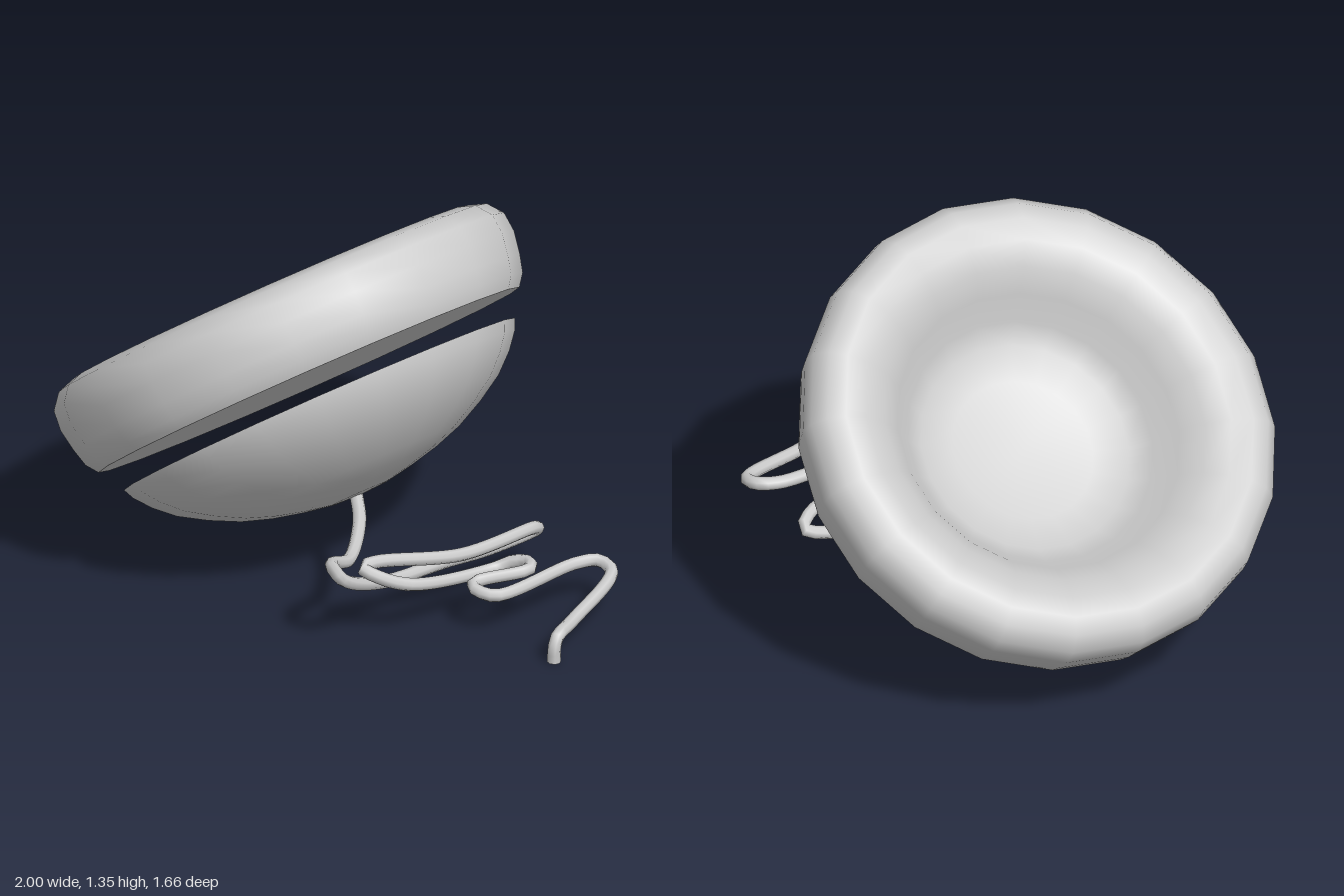
import * as THREE from 'three';
import { toCreasedNormals } from 'three/addons/utils/BufferGeometryUtils.js';

const TILT = 0.651; // lean of both round parts

function createMesh(name, geometry) {
  const mesh = new THREE.Mesh(geometry, new THREE.MeshStandardMaterial({ color: 0xcccccc }));
  mesh.name = name;
  return mesh;
}

// Round part from [radius, height] pairs, 20 sides, sharp only at hard edges
function turned(name, profile) {
  const points = profile.map(([r, h]) => new THREE.Vector2(r, h));
  return createMesh(name, toCreasedNormals(new THREE.LatheGeometry(points, 20), 0.8));
}

export function createModel() {
  const model = new THREE.Group();
  model.name = 'dishWithCord';

  const head = new THREE.Group();
  head.name = 'tiltedHead';
  head.position.set(-0.195, 0.635, 0);
  head.rotation.z = TILT;
  model.add(head);

  // Thick rounded rim sinking into a shallow dish, flat underneath
  head.add(turned('rimDish', [
    [0, 0], [0.772, 0], [0.802, 0.04], [0.818, 0.1], [0.832, 0.18], [0.826, 0.25],
    [0.785, 0.302], [0.725, 0.322], [0.65, 0.312], [0.57, 0.27], [0.5, 0.2],
    [0.435, 0.11], [0.37, 0.055], [0.25, 0.03], [0, 0.02],
  ]));

  // Separate rounded bowl below the rim
  head.add(turned('bowl', [
    [0, -0.423], [0.1, -0.418], [0.2, -0.401], [0.3, -0.378], [0.4, -0.345], [0.5, -0.296],
    [0.59, -0.241], [0.655, -0.182], [0.7, -0.126], [0.718, -0.088], [0, -0.088],
  ]));

  // Tangled cord running from the bowl down to the ground
  const path = [
    [0.04, 0.31, 0], [0.15, 0.265, 0.08], [0.29, 0.232, 0.25], [0.36, 0.29, 0.39],
    [0.42, 0.305, 0.435], [0.435, 0.265, 0.41], [0.39, 0.165, 0.2], [0.345, 0.11, -0.15],
    [0.37, 0.11, -0.3], [0.42, 0.145, -0.475], [0.455, 0.18, -0.43], [0.49, 0.215, -0.07],
    [0.425, 0.275, 0.26], [0.42, 0.27, 0.31], [0.465, 0.25, 0.29], [0.52, 0.2, 0.18],
    [0.545, 0.15, -0.17], [0.585, 0.175, -0.225], [0.64, 0.185, -0.245], [0.68, 0.185, -0.21],
    [0.6, 0.165, -0.04], [0.62, 0.16, -0.015], [0.695, 0.15, -0.04], [0.7, 0.15, -0.4],
    [0.735, 0.15, -0.475], [0.8, 0.135, -0.475], [0.92, 0.09, -0.19], [0.968, 0.085, -0.08],
    [0.975, 0.055, -0.062], [0.975, 0.002, -0.06],
  ].map((p) => new THREE.Vector3(...p));
  const curve = new THREE.CatmullRomCurve3(path, false, 'centripetal');
  model.add(createMesh('cord', new THREE.TubeGeometry(curve, 150, 0.023, 8)));

  // Closed tip of the cord
  const tip = createMesh('cordTip', new THREE.CircleGeometry(0.023, 8));
  tip.position.copy(curve.getPoint(1));
  tip.quaternion.setFromUnitVectors(new THREE.Vector3(0, 0, 1), curve.getTangent(1));
  model.add(tip);

  return model;
}
